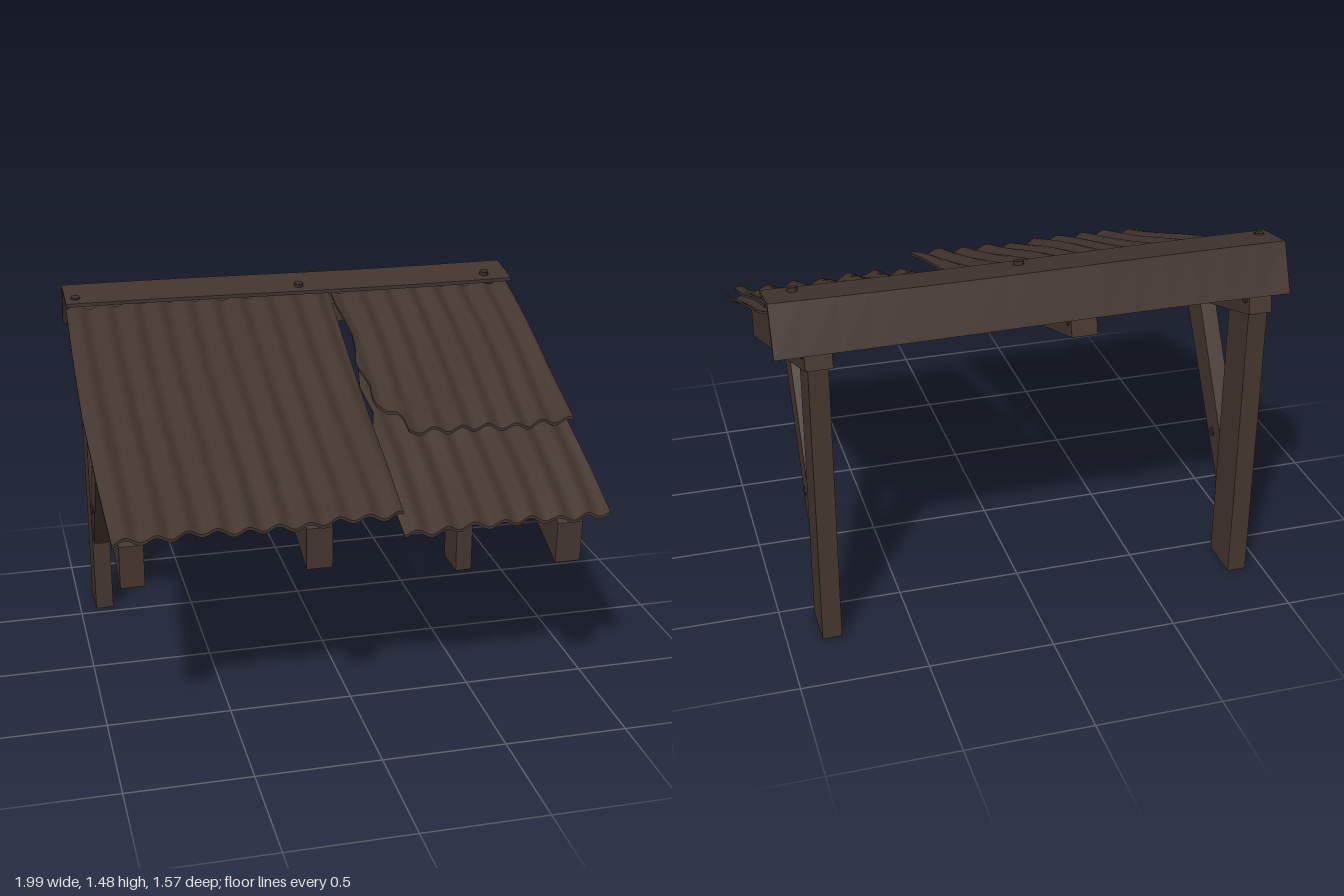
import * as THREE from 'three';

const material = (name, color) => {
  const m = new THREE.MeshStandardMaterial({ color });
  m.name = name;
  return m;
};
const wood = material('weathered wood', 0x46382f);
const metal = material('rusted metal', 0x42352d);
const iron = material('dark iron', 0x382c25);

function add(group, name, geometry, mat) {
  const mesh = new THREE.Mesh(geometry, mat);
  mesh.name = name;
  group.add(mesh);
  return mesh;
}

// Solid with a side profile of [z, y] points, running from x0 to x1
function prism(points, x0, x1, steps = 1) {
  const shape = new THREE.Shape(points.map(([z, y]) => new THREE.Vector2(z, y)));
  const geo = new THREE.ExtrudeGeometry(shape, { depth: x1 - x0, steps, bevelEnabled: false });
  geo.rotateY(-Math.PI / 2);
  geo.translate(x1, 0, 0);
  return geo;
}

// Linear interpolation through evenly spaced values
function along(values, t) {
  const s = t * (values.length - 1);
  const i = Math.min(Math.floor(s), values.length - 2);
  return values[i] + (values[i + 1] - values[i]) * (s - i);
}

// Corrugated sheet: edges given from back to front, back and front as [z, y]
function sheet({ left, right, back, front, seed }) {
  const nx = 72, nz = 24, thick = 0.012;
  const geo = new THREE.BoxGeometry(1, 1, 1, nx, 1, nz);
  const p = geo.attributes.position;
  for (let i = 0; i < p.count; i++) {
    const u = p.getX(i) + 0.5, v = p.getZ(i) + 0.5;
    const x = THREE.MathUtils.lerp(along(left, v), along(right, v), u);
    // Ragged front edge and slight dents in the waves
    const jag = v * v * 0.008 * Math.sin(x * 23 + seed);
    const z = THREE.MathUtils.lerp(back[0], front[0], v) + jag;
    const wave = 0.012 * Math.cos((x * 2 * Math.PI) / 0.115 + seed + 0.5 * Math.sin(v * 4 + seed));
    const dent = 0.005 * Math.sin(x * 9 + v * 7 + seed);
    const y = THREE.MathUtils.lerp(back[1], front[1], v) + wave + dent + p.getY(i) * thick;
    p.setXYZ(i, x, y, z);
  }
  geo.computeVertexNormals();
  return geo;
}

export function createModel() {
  const model = new THREE.Group();
  model.name = 'leanToRoof';

  // Bolt running across x
  const crossBolt = (name, x0, x1, y, z) => {
    const geo = new THREE.CylinderGeometry(0.018, 0.018, x1 - x0, 8);
    geo.rotateZ(Math.PI / 2);
    geo.translate((x0 + x1) / 2, y, z);
    add(model, name, geo, iron);
  };

  // Posts with diagonal braces
  for (const [side, x0, x1] of [['right', -0.93, -0.853], ['left', 0.785, 0.862]]) {
    add(model, side + 'Post',
      prism([[-0.54, 0], [-0.54, 1.24], [-0.7, 1.28], [-0.72, 1.2], [-0.722, 0]], x0, x1), wood);
    add(model, side + 'Brace',
      prism([[-0.55, 0.305], [-0.11, 0.98], [-0.14, 1.04], [-0.24, 1.04], [-0.55, 0.525]], x0 + 0.005, x1 - 0.005), wood);
    crossBolt(side + 'BraceBolt', x0, x1, 0.525, -0.46);
  }

  // Rafters: the left one droops lower than the others
  for (const [name, x0, x1, low] of [
    ['rightRafter', -0.942, -0.85, 0.71],
    ['middleRafter', -0.235, -0.133, 0.71],
    ['leftRafter', 0.77, 0.873, 0.63],
  ]) {
    add(model, name,
      prism([[0.73, low], [0.735, low + 0.17], [-0.7, 1.345], [-0.735, 1.195]], x0, x1), wood);
    crossBolt(name + 'Bolt', x0 - 0.008, x1 + 0.008, 1.245, -0.69);
  }

  // Ridge beam lying on the rafters
  add(model, 'ridgeBeam',
    prism([[-0.54, 1.285], [-0.545, 1.365], [-0.705, 1.415], [-0.72, 1.34]], -0.95, 0.9), wood);

  // Roof sheets
  add(model, 'rightRoofSheet', sheet({
    left: [-0.98, -0.99, -0.995, -0.985, -0.97], right: [0.168, 0.16, 0.15, 0.14, 0.132],
    back: [-0.6, 1.405], front: [0.775, 0.915], seed: 0.6,
  }), metal);
  add(model, 'leftLowerRoofSheet', sheet({
    left: [0.2, 0.17, 0.185, 0.145, 0.15, 0.14, 0.145], right: [0.97, 0.985, 0.98, 0.985, 0.98],
    back: [-0.2, 1.205], front: [0.755, 0.83], seed: 2.1,
  }), metal);
  add(model, 'leftUpperRoofSheet', sheet({
    left: [0.175, 0.178, 0.19, 0.2, 0.19, 0.165, 0.2, 0.185, 0.28, 0.285], right: [0.985, 0.99, 0.985],
    back: [-0.6, 1.4], front: [0.31, 1.058], seed: 3.4,
  }), metal);

  // Bent ridge cap, with its rear lip slightly sagging inward at mid length
  const cap = prism([[-0.52, 1.425], [-0.52, 1.44], [-0.71, 1.472], [-0.79, 1.287],
    [-0.772, 1.28], [-0.698, 1.452]], -0.985, 0.99, 16);
  const p = cap.attributes.position;
  for (let i = 0; i < p.count; i++) {
    const x = p.getX(i);
    if (p.getY(i) < 1.4) p.setZ(i, p.getZ(i) + 0.014 * (1 - x * x));
    p.setY(i, p.getY(i) - 0.006 * Math.sin(x * 2.2 + 0.4));
  }
  cap.computeVertexNormals();
  add(model, 'ridgeCap', cap, metal);

  // Bolts on the ridge cap
  for (const x of [-0.94, 0.03, 0.88]) {
    const bolt = add(model, 'ridgeCapBolt', new THREE.CylinderGeometry(0.02, 0.022, 0.022, 8), iron);
    bolt.position.set(x, 1.45, -0.575);
    bolt.rotation.x = 0.17;
  }

  return model;
}
